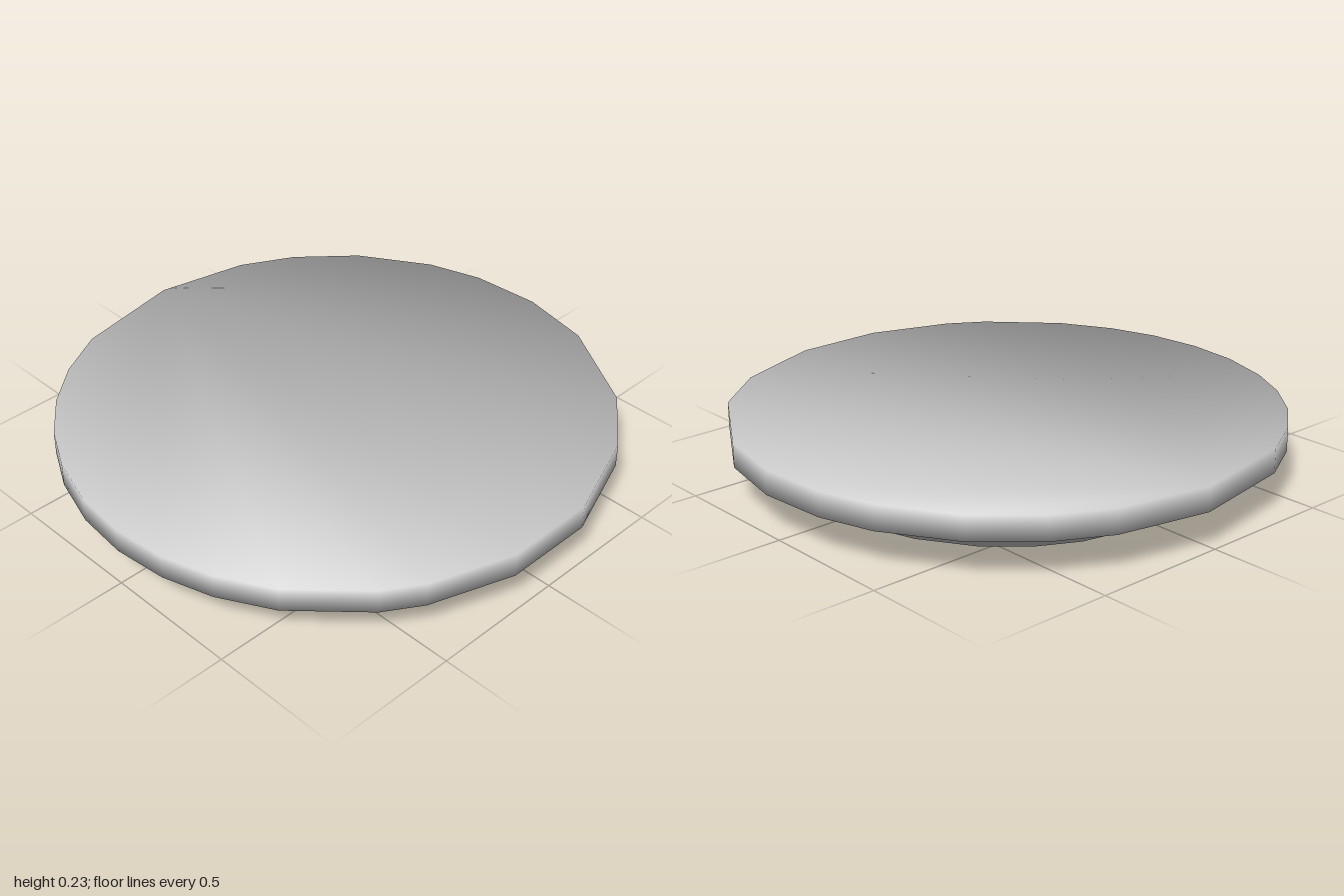
import * as THREE from 'three';

// Uneven corner angles of the rim, in degrees from +x towards +z
const ANGLES = [-88, -68, -55.5, -40.5, -23.5, -11.5, 3.5, 19.5, 43, 59, 80, 99.5,
  118, 127, 145, 157.5, 168.5, 180, 191.5, 203.5, 214, 225, 236, 248];

// Profile from top to bottom: radius, height, outward and upward parts of the soft normal
const RINGS = [
  [1, 0.23, 1, 1],          // upper rim edge
  [1, 0.14, 1, -1],         // lower rim edge
  [0.81, 0.14, 0.83, -1.55], // top of the tapered foot
  [0.725, 0, 0.83, -1.55],  // base of the foot
];

function dishGeometry() {
  const n = ANGLES.length;
  const positions = [], normals = [], index = [];
  for (const [r, y, out, up] of RINGS) {
    const len = Math.hypot(out, up);
    for (const deg of ANGLES) {
      const a = THREE.MathUtils.degToRad(deg);
      const c = Math.cos(a), s = Math.sin(a);
      positions.push(r * c, y, r * s);
      normals.push(out * c / len, up / len, out * s / len);
    }
  }
  // Walls between neighbouring rings
  for (let k = 0; k < RINGS.length - 1; k++) {
    for (let i = 0; i < n; i++) {
      const j = (i + 1) % n;
      const a = k * n + i, b = k * n + j, c = a + n, d = b + n;
      index.push(a, b, d, a, d, c);
    }
  }
  // Flat top and flat base
  const base = (RINGS.length - 1) * n;
  for (let i = 1; i < n - 1; i++) {
    index.push(0, i + 1, i, base, base + i, base + i + 1);
  }
  const geometry = new THREE.BufferGeometry();
  geometry.setAttribute('position', new THREE.Float32BufferAttribute(positions, 3));
  geometry.setAttribute('normal', new THREE.Float32BufferAttribute(normals, 3));
  geometry.setIndex(index);
  return geometry;
}

export function createModel() {
  const group = new THREE.Group();
  group.name = 'dish';
  const dish = new THREE.Mesh(dishGeometry(), new THREE.MeshStandardMaterial({ color: 0xcccccc }));
  dish.name = 'dishBody';
  group.add(dish);
  return group;
}
